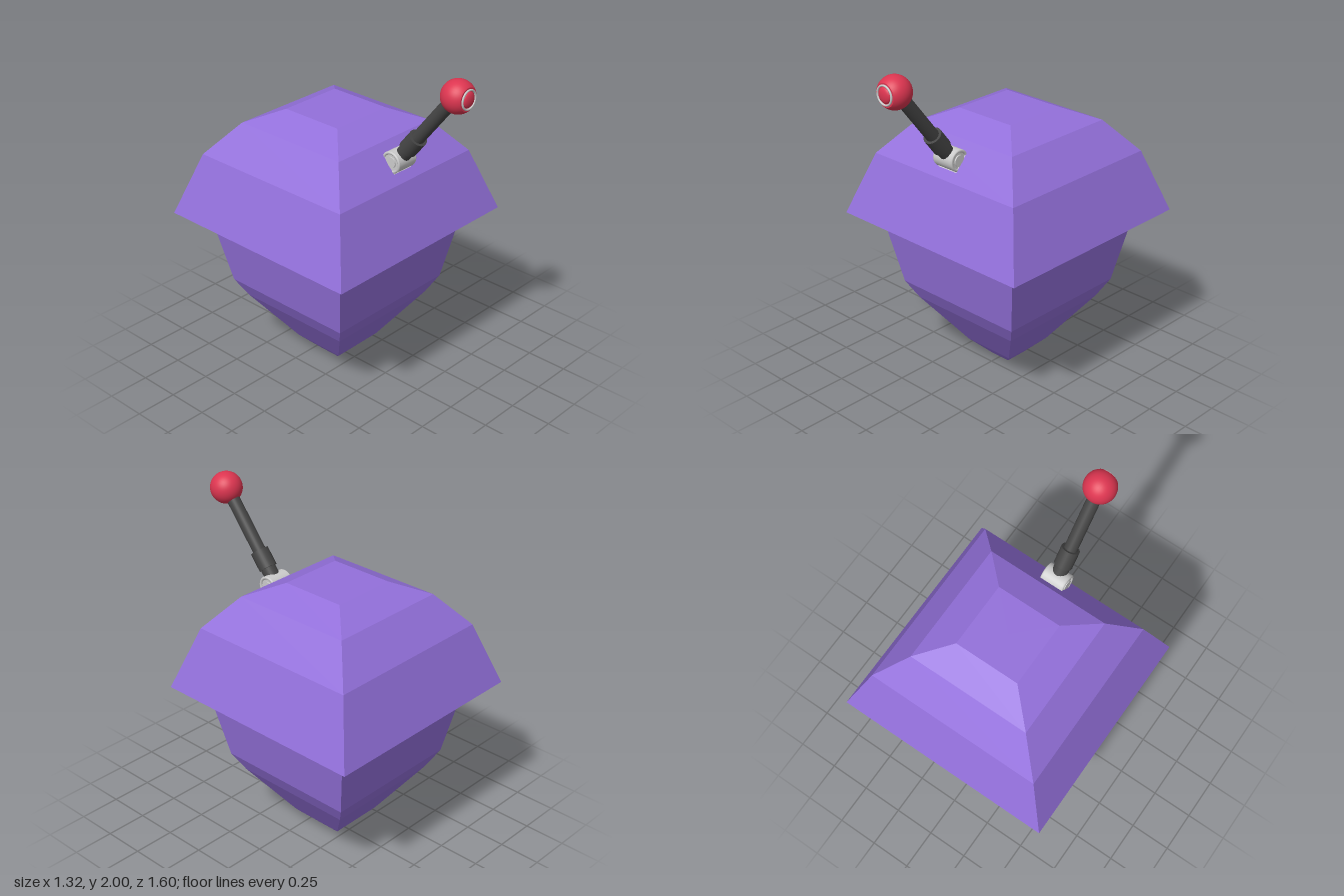
import * as THREE from 'three';

const purple = new THREE.MeshStandardMaterial({ color: 0x9370db, flatShading: true, side: THREE.DoubleSide });
const dark = new THREE.MeshStandardMaterial({ color: 0x444444 });
const grey = new THREE.MeshStandardMaterial({ color: 0xcccccc });
const red = new THREE.MeshStandardMaterial({ color: 0xdc3550 });

function add(parent, name, geometry, material, x = 0, y = 0, z = 0) {
  const mesh = new THREE.Mesh(geometry, material);
  mesh.name = name;
  mesh.position.set(x, y, z);
  parent.add(mesh);
  return mesh;
}

// Four-sided shell from [half width, height] pairs
function squareLathe(profile) {
  const points = profile.map(([w, y]) => new THREE.Vector2(w * Math.SQRT2, y));
  return new THREE.LatheGeometry(points, 4, Math.PI / 4);
}

// Cylinder standing on y0 and reaching y1
function rod(r0, r1, y0, y1) {
  return new THREE.CylinderGeometry(r1, r0, y1 - y0, 32).translate(0, (y0 + y1) / 2, 0);
}

export function createModel() {
  const model = new THREE.Group();
  model.name = 'acornLever';

  // Body: flares outward until it meets the inside of the cap
  add(model, 'body', squareLathe([
    [0, 0], [0.065, 0], [0.165, 0.1], [0.37, 0.39], [0.43, 0.5],
    [0.495, 0.83], [0.54, 0.95], [0.6, 1.02], [0.615, 1.06],
  ]), purple, 0, 0, -0.14);

  // Cap: overhanging shell with an open rim
  add(model, 'cap', squareLathe([
    [0.66, 0.95], [0.53, 1.32], [0.37, 1.51], [0.195, 1.59], [0, 1.59],
  ]), purple, 0, 0, -0.14);

  // Hinge: sideways drum on the front slope, with raised rings and pins
  const hinge = new THREE.Group();
  hinge.name = 'hinge';
  hinge.position.set(0.005, 1.43, 0.325);
  model.add(hinge);
  add(hinge, 'drum', new THREE.CylinderGeometry(0.063, 0.063, 0.13, 32).rotateZ(Math.PI / 2), grey);
  const foot = add(hinge, 'foot', new THREE.BoxGeometry(0.14, 0.05, 0.13), grey, 0, -0.03, -0.035);
  foot.rotation.x = 0.87;
  for (const side of [-1, 1]) {
    add(hinge, 'rim', new THREE.TorusGeometry(0.055, 0.009, 8, 32).rotateY(Math.PI / 2), grey, side * 0.064);
    add(hinge, 'pin', new THREE.CylinderGeometry(0.033, 0.033, 0.014, 24).rotateZ(Math.PI / 2), grey, side * 0.066);
  }

  // Lever: neck, sleeve and slim rod leaning forward
  const lever = new THREE.Group();
  lever.name = 'lever';
  lever.position.copy(hinge.position);
  lever.rotation.x = 0.67;
  model.add(lever);
  add(lever, 'neckBall', new THREE.SphereGeometry(0.043, 24, 16), dark, 0, 0.035, 0);
  add(lever, 'neck', rod(0.043, 0.045, 0.035, 0.1), dark);
  add(lever, 'sleeve', rod(0.053, 0.053, 0.1, 0.21), dark);
  add(lever, 'rod', rod(0.038, 0.038, 0.2, 0.57), dark);

  // Knob: ball cut flat at the front, holding a ringed button
  const knob = new THREE.Group();
  knob.name = 'knob';
  knob.position.set(0.005, 1.907, 0.712);
  knob.rotation.x = Math.PI / 2;
  model.add(knob);
  const r = 0.093, cut = 0.065, face = Math.sqrt(r * r - cut * cut);
  add(knob, 'ball', new THREE.SphereGeometry(r, 40, 28, 0, Math.PI * 2, Math.asin(cut / r)), red);
  add(knob, 'face', new THREE.CircleGeometry(cut, 40).rotateX(-Math.PI / 2), red, 0, face, 0);
  add(knob, 'ring', new THREE.TorusGeometry(0.052, 0.006, 8, 40).rotateX(Math.PI / 2), grey, 0, face + 0.003, 0);
  const button = add(knob, 'button', new THREE.SphereGeometry(0.044, 32, 12, 0, Math.PI * 2, 0, Math.PI / 2), red, 0, face, 0);
  button.scale.y = 0.4;

  return model;
}
